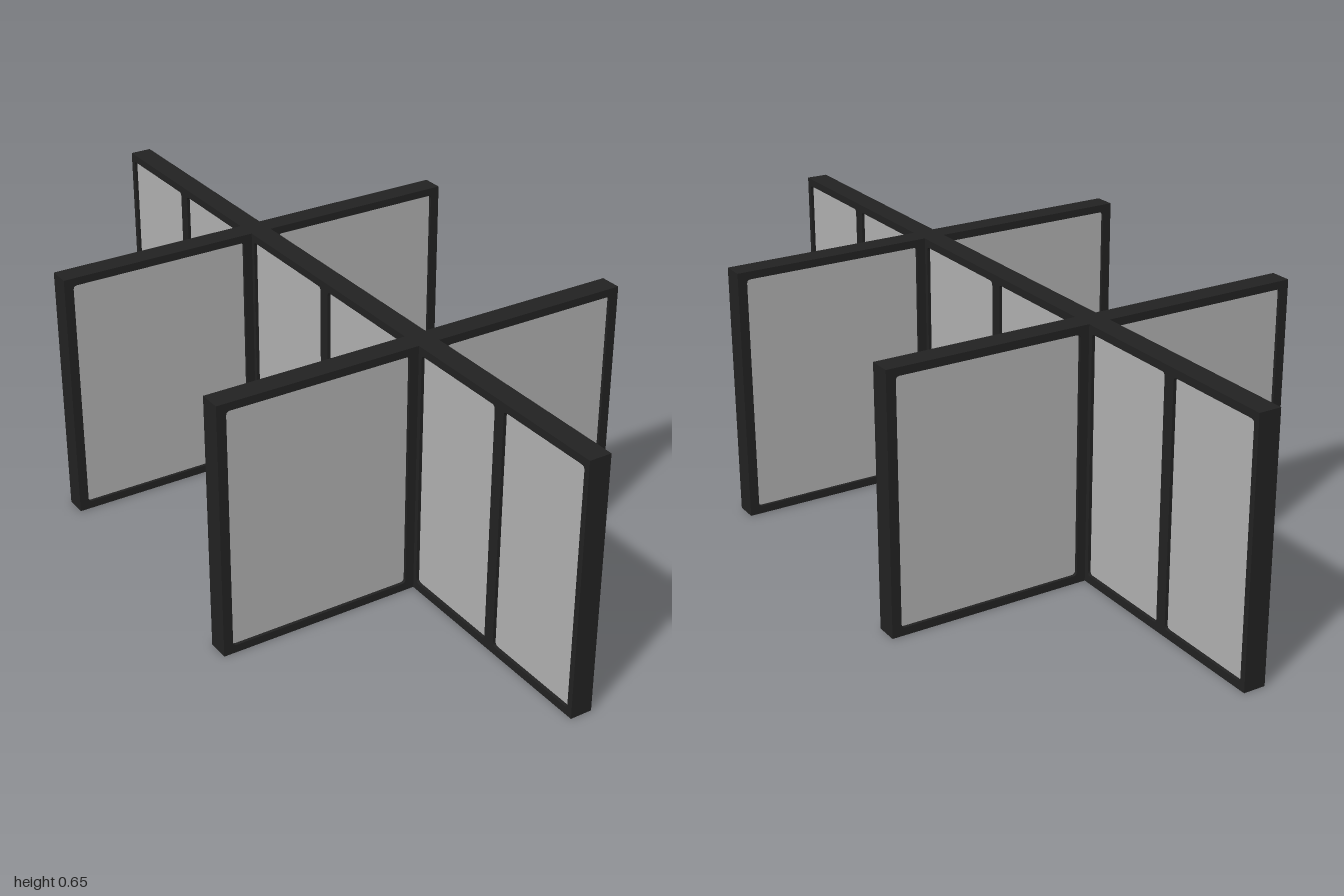
import * as THREE from 'three';

const HEIGHT = 0.65, THICK = 0.056, RECESS = 0.008;
const BOTTOM = 0.02, TOP = 0.63; // opening limits

const frameMat = new THREE.MeshStandardMaterial({ color: 0x222222 });
frameMat.name = 'black frame';
const panelMat = new THREE.MeshStandardMaterial({ color: 0xb1b1b1 });
panelMat.name = 'grey panel';

// rectangular opening with small rounded corners
function opening(a, b) {
  const r = 0.01, p = new THREE.Path();
  p.moveTo(a + r, BOTTOM);
  p.lineTo(b - r, BOTTOM);
  p.quadraticCurveTo(b, BOTTOM, b, BOTTOM + r);
  p.lineTo(b, TOP - r);
  p.quadraticCurveTo(b, TOP, b - r, TOP);
  p.lineTo(a + r, TOP);
  p.quadraticCurveTo(a, TOP, a, TOP - r);
  p.lineTo(a, BOTTOM + r);
  p.quadraticCurveTo(a, BOTTOM, a + r, BOTTOM);
  return p;
}

// upright wall along x: a frame with openings, each filled by a recessed panel
function wall(name, start, end, bays) {
  const group = new THREE.Group();
  group.name = name;
  const outline = new THREE.Shape();
  outline.moveTo(start, 0);
  outline.lineTo(end, 0);
  outline.lineTo(end, HEIGHT);
  outline.lineTo(start, HEIGHT);
  outline.closePath();
  outline.holes = bays.map(([a, b]) => opening(a, b));
  const geo = new THREE.ExtrudeGeometry(outline, { depth: THICK, bevelEnabled: false, curveSegments: 4 });
  geo.translate(0, 0, -THICK / 2);
  const frame = new THREE.Mesh(geo, frameMat);
  frame.name = 'frame';
  group.add(frame);
  for (const [a, b] of bays) {
    const lap = 0.004; // panel edge tucked into the frame
    const panel = new THREE.Mesh(
      new THREE.BoxGeometry(b - a + lap, TOP - BOTTOM + lap, THICK - 2 * RECESS), panelMat);
    panel.position.set((a + b) / 2, (TOP + BOTTOM) / 2, 0);
    panel.name = 'panel';
    group.add(panel);
  }
  return group;
}

export function createModel() {
  const model = new THREE.Group();
  model.name = 'partitionScreen';

  // long spine wall running front to back
  const half = [[0.016, 0.33], [0.41, 0.683], [0.715, 0.985]];
  const bays = [...half.map(([a, b]) => [-b, -a]), ...half];
  const spine = wall('spineWall', -1, 1, bays);
  spine.rotation.y = Math.PI / 2;
  model.add(spine);

  // two cross walls, each made of a left and a right wing
  for (const z of [0.37, -0.37]) {
    for (const side of [1, -1]) {
      const wing = wall(side > 0 ? 'leftWing' : 'rightWing', THICK / 2, 0.55, [[0.051, 0.526]]);
      wing.rotation.y = side > 0 ? 0 : Math.PI;
      wing.position.z = z;
      model.add(wing);
    }
  }
  return model;
}
